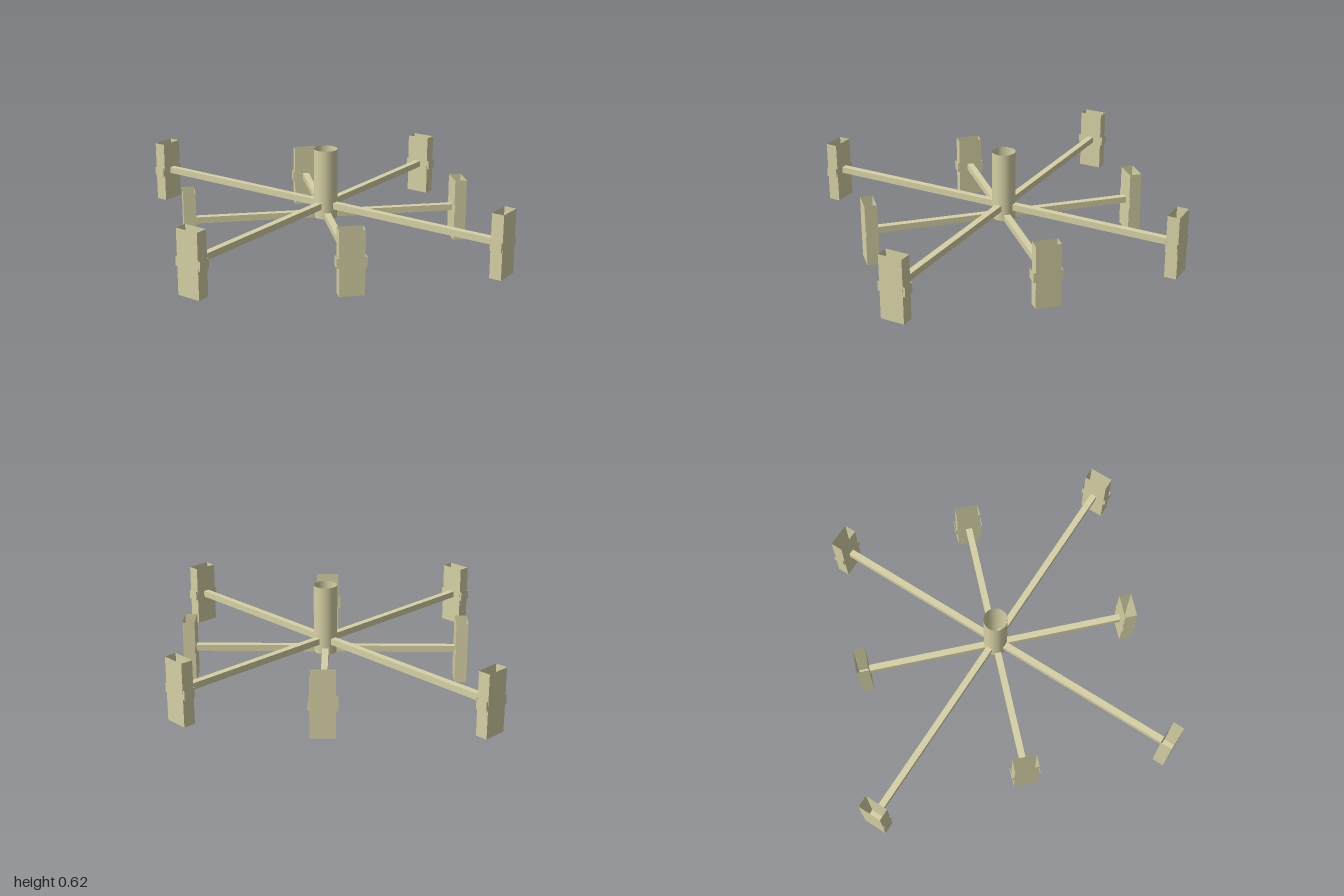
import * as THREE from 'three';

const khaki = new THREE.MeshStandardMaterial({ color: 0xd6d1a5, side: THREE.DoubleSide });
khaki.name = 'khaki';

// Thin-walled box without the listed faces (0 +x, 1 -x, 2 +y, 3 -y, 4 +z, 5 -z)
function openBox(w, h, d, missing) {
  const geo = new THREE.BoxGeometry(w, h, d);
  geo.setIndex([...geo.index.array].filter((_, i) => !missing.includes(Math.floor(i / 6))));
  geo.clearGroups();
  return geo;
}

function part(name, geo, parent, x, y, z) {
  const mesh = new THREE.Mesh(geo, khaki);
  mesh.name = name;
  mesh.position.set(x, y, z);
  parent.add(mesh);
  return mesh;
}

// Spoke running along +z with an open-topped bucket held by a sleeve at its end
function makeSpoke(angle, radius, y) {
  const spoke = new THREE.Group();
  spoke.name = 'spoke';
  const depth = 0.075;
  const length = radius - depth / 2;
  part('arm', new THREE.BoxGeometry(0.04, 0.04, length), spoke, 0, y, length / 2);
  part('bucket', openBox(0.15, 0.39, depth, [2]), spoke, 0, y - 0.005, radius);
  part('bucketSleeve', openBox(0.176, 0.06, depth - 0.003, [2, 3]), spoke, 0, y - 0.002, radius);
  spoke.rotation.y = angle;
  return spoke;
}

export function createModel() {
  const model = new THREE.Group();
  model.name = 'bucketWheel';
  const wheel = new THREE.Group();
  wheel.name = 'wheel';
  wheel.position.set(0.028, 0, 0.026);
  model.add(wheel);

  // Open hub tube
  part('hubTube', new THREE.CylinderGeometry(0.073, 0.073, 0.435, 24, 1, true), wheel, 0, 0.3975, 0);

  // Four straight spokes low down, four diagonal ones of uneven length above
  const diagonals = [1.228, 1.14, 1.32, 1.248];
  for (let i = 0; i < 4; i++) {
    const angle = i * Math.PI / 2;
    wheel.add(makeSpoke(angle, 0.846, 0.2));
    wheel.add(makeSpoke(angle + Math.PI / 4, diagonals[i], 0.262));
  }
  return model;
}
